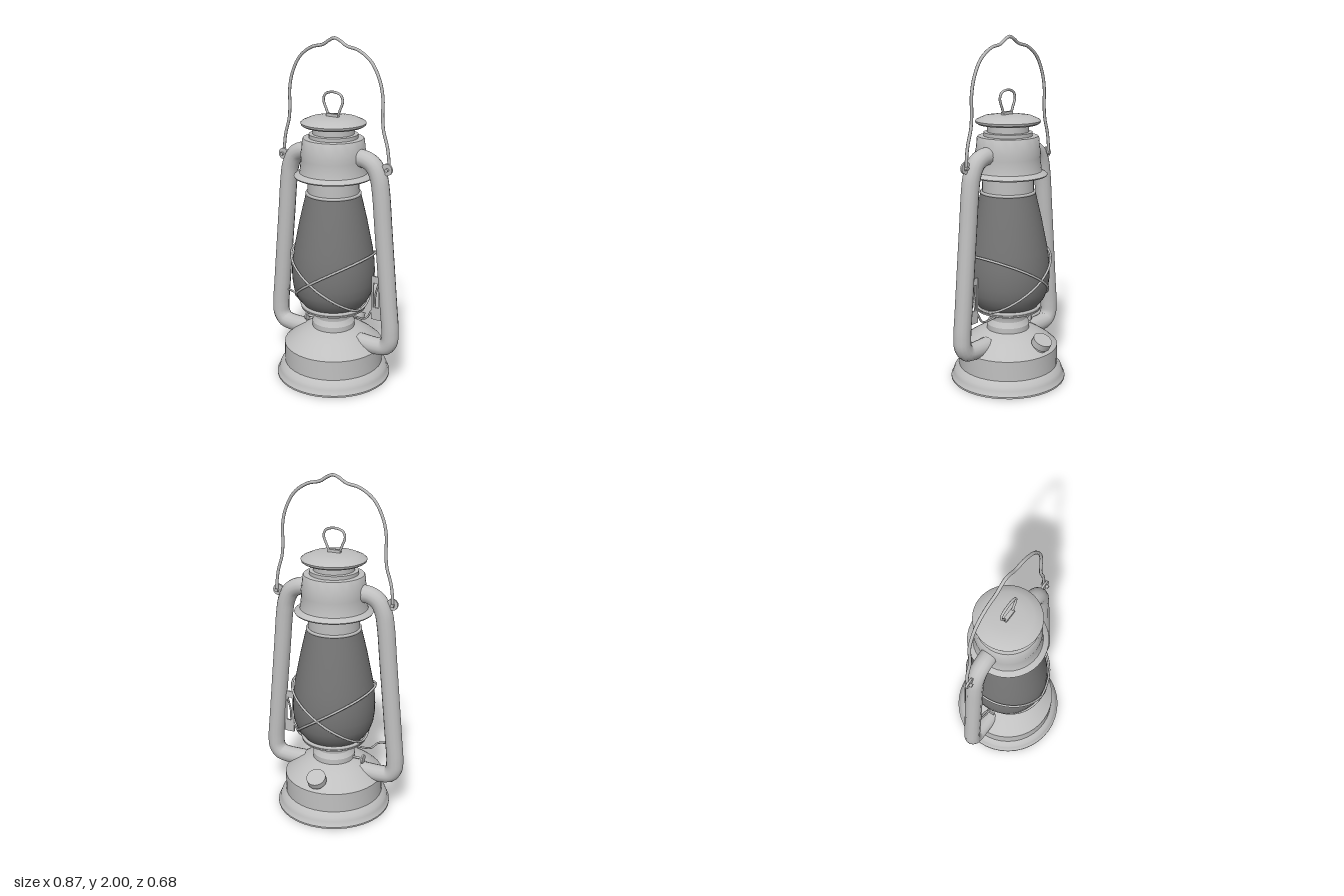
import * as THREE from 'three';
import { toCreasedNormals } from 'three/addons/utils/BufferGeometryUtils.js';

export function createModel() {
  const lantern = new THREE.Group();
  lantern.name = 'lantern';

  const metal = new THREE.MeshStandardMaterial({ color: 0xc0c0c0 });
  metal.name = 'pale metal';
  const glass = new THREE.MeshStandardMaterial({ color: 0x767676 });
  glass.name = 'smoked glass';

  function add(name, geometry, material = metal, parent = lantern) {
    const mesh = new THREE.Mesh(geometry, material);
    mesh.name = name;
    parent.add(mesh);
    return mesh;
  }
  // Turned part: [radius, height] pairs from bottom to top
  function turned(name, profile, material = metal, segments = 40) {
    const points = profile.map(([r, y]) => new THREE.Vector2(r, y));
    const geometry = new THREE.LatheGeometry(points, segments);
    return add(name, toCreasedNormals(geometry, 0.5), material);
  }
  // Bent rod through [x, y, z] points
  function rod(name, points, radius, steps, sides, closed = false, parent = lantern) {
    const curve = new THREE.CatmullRomCurve3(
      points.map(([x, y, z = 0]) => new THREE.Vector3(x, y, z)), closed, 'centripetal');
    return add(name, new THREE.TubeGeometry(curve, steps, radius, sides, closed), metal, parent);
  }
  function ring(name, radius, y, thickness) {
    const mesh = add(name, new THREE.TorusGeometry(radius, thickness, 8, 40));
    mesh.rotation.x = Math.PI / 2;
    mesh.position.y = y;
  }

  // Fuel tank with rolled foot and domed top
  turned('fuelTank', [
    [0, 0.005], [0.325, 0.005], [0.338, 0.01], [0.338, 0.02], [0.33, 0.03], [0.325, 0.05],
    [0.317, 0.07], [0.298, 0.088], [0.291, 0.095], [0.291, 0.212],
    [0.25, 0.248], [0.2, 0.282], [0.16, 0.302], [0.125, 0.314],
  ]);
  // Burner neck and the gallery that carries the globe
  turned('burnerNeck', [
    [0.125, 0.31], [0.125, 0.345], [0.117, 0.358], [0.108, 0.375], [0.109, 0.4],
    [0.12, 0.42], [0.157, 0.422], [0.157, 0.434], [0.19, 0.436], [0.192, 0.446], [0, 0.452],
  ]);
  ring('globeSeat', 0.185, 0.455, 0.01);

  // Glass globe
  turned('globe', [
    [0.17, 0.452], [0.19, 0.475], [0.215, 0.51], [0.232, 0.555], [0.24, 0.61], [0.242, 0.67],
    [0.238, 0.73], [0.228, 0.8], [0.212, 0.88], [0.194, 0.97], [0.173, 1.06], [0.156, 1.13],
  ], glass);
  ring('globeCollar', 0.151, 1.13, 0.009);

  // Chimney and hood with flared skirt
  turned('chimney', [[0.147, 1.12], [0.147, 1.245]]);
  turned('hood', [
    [0.145, 1.24], [0.19, 1.238], [0.22, 1.226], [0.224, 1.233], [0.215, 1.241], [0.193, 1.253],
    [0.19, 1.265], [0.183, 1.33], [0.186, 1.36], [0.18, 1.385], [0.175, 1.44], [0.17, 1.448],
    [0.138, 1.45], [0.138, 1.47], [0.117, 1.472], [0.117, 1.52],
  ]);
  // Rain cap
  turned('rainCap', [
    [0.11, 1.512], [0.165, 1.513], [0.18, 1.522], [0.184, 1.534], [0.176, 1.541],
    [0.135, 1.559], [0.08, 1.566], [0, 1.568],
  ]);

  // Lifting loop on the cap
  rod('liftingLoop', [
    [-0.03, 1.57, 0.004], [-0.045, 1.605, 0.004], [-0.063, 1.655, 0.004], [-0.05, 1.688, 0.004],
    [0, 1.702, 0.004], [0.05, 1.688, 0.004], [0.063, 1.655, 0.004], [0.045, 1.605, 0.004],
    [0.03, 1.57, 0.004],
  ], 0.007, 40, 8);
  const strap = add('loopStrap', new THREE.BoxGeometry(0.075, 0.018, 0.022));
  strap.position.set(0, 1.574, 0.006);

  // Air tubes, with the lugs that hold the bail
  for (const side of [1, -1]) {
    const frame = new THREE.Group();
    frame.name = side > 0 ? 'leftAirTube' : 'rightAirTube';
    lantern.add(frame);
    rod('airTube', [
      [0.14, 1.353], [0.21, 1.35], [0.262, 1.322], [0.295, 1.26], [0.31, 1.18], [0.33, 0.97],
      [0.372, 0.52], [0.386, 0.36], [0.382, 0.3], [0.355, 0.262], [0.31, 0.252], [0.18, 0.252],
    ].map(([x, y]) => [x * side, y]), 0.05, 72, 14, false, frame);

    const lug = add('bailLug', new THREE.CylinderGeometry(0.033, 0.033, 0.012, 16), metal, frame);
    lug.rotation.x = Math.PI / 2;
    lug.position.set(0.345 * side, 1.312, 0);
    const pin = add('bailPin', new THREE.CylinderGeometry(0.01, 0.01, 0.045, 10), metal, frame);
    pin.rotation.x = Math.PI / 2;
    pin.position.set(0.35 * side, 1.312, -0.002);
  }

  // Carrying bail
  const halfBail = [
    [0.35, 1.3], [0.349, 1.35], [0.338, 1.43], [0.312, 1.52], [0.305, 1.6], [0.305, 1.69],
    [0.284, 1.785], [0.23, 1.88], [0.15, 1.935], [0.075, 1.953], [0.035, 1.978],
  ];
  rod('carryingBail', [
    ...halfBail.map(([x, y]) => [-x, y, -0.012]), [0, 1.991, -0.012],
    ...halfBail.slice().reverse().map(([x, y]) => [x, y, -0.012]),
  ], 0.009, 110, 8);

  // Two crossed guard wires hugging the globe
  for (const side of [1, -1]) {
    const points = [];
    for (let i = 0; i < 32; i++) {
      const a = (i / 32) * Math.PI * 2, c = Math.cos(a);
      const r = 0.25 - (c > 0 ? 0.055 : 0.008) * c * c;
      points.push([side * r * c, 0.65 - 0.165 * c - 0.025 * c * c, r * Math.sin(a)]);
    }
    rod('guardWire', points, 0.007, 80, 6, true);
  }

  // Globe lifting wire and its lever plate
  rod('liftingWire', [
    [-0.345, 0.465], [-0.32, 0.46], [-0.28, 0.45], [-0.255, 0.425], [-0.23, 0.405], [-0.1, 0.402],
    [0.1, 0.402], [0.215, 0.402], [0.24, 0.425], [0.255, 0.455], [0.28, 0.49], [0.285, 0.56],
    [0.305, 0.64],
  ], 0.006, 70, 6);
  const plate = new THREE.Shape([
    [0.262, 0.415], [0.325, 0.415], [0.318, 0.68], [0.262, 0.68],
  ].map(([x, y]) => new THREE.Vector2(x, y)));
  plate.holes.push(new THREE.Path([
    [0.274, 0.49], [0.274, 0.64], [0.306, 0.64], [0.31, 0.49],
  ].map(([x, y]) => new THREE.Vector2(x, y))));
  const lever = add('leverPlate', new THREE.ExtrudeGeometry(plate, { depth: 0.01, bevelEnabled: false }));
  lever.position.z = -0.005;

  // Filler spout and cap on the back of the tank
  const filler = new THREE.Group();
  filler.name = 'filler';
  filler.position.set(0, 0.3, -0.265);
  filler.rotation.x = -0.47;
  lantern.add(filler);
  const cap = add('fillerCap', new THREE.CylinderGeometry(0.056, 0.056, 0.04, 24), metal, filler);
  cap.position.y = -0.02;
  const spout = add('fillerSpout', new THREE.CylinderGeometry(0.043, 0.043, 0.07, 24), metal, filler);
  spout.position.y = -0.07;

  // Wick adjuster
  const shaft = add('wickShaft', new THREE.CylinderGeometry(0.007, 0.007, 0.1, 8));
  shaft.rotation.z = Math.PI / 2;
  shaft.position.set(-0.14, 0.325, 0);
  const knob = add('wickKnob', new THREE.CylinderGeometry(0.027, 0.027, 0.01, 16));
  knob.rotation.z = Math.PI / 2;
  knob.position.set(-0.187, 0.322, 0);

  return lantern;
}
